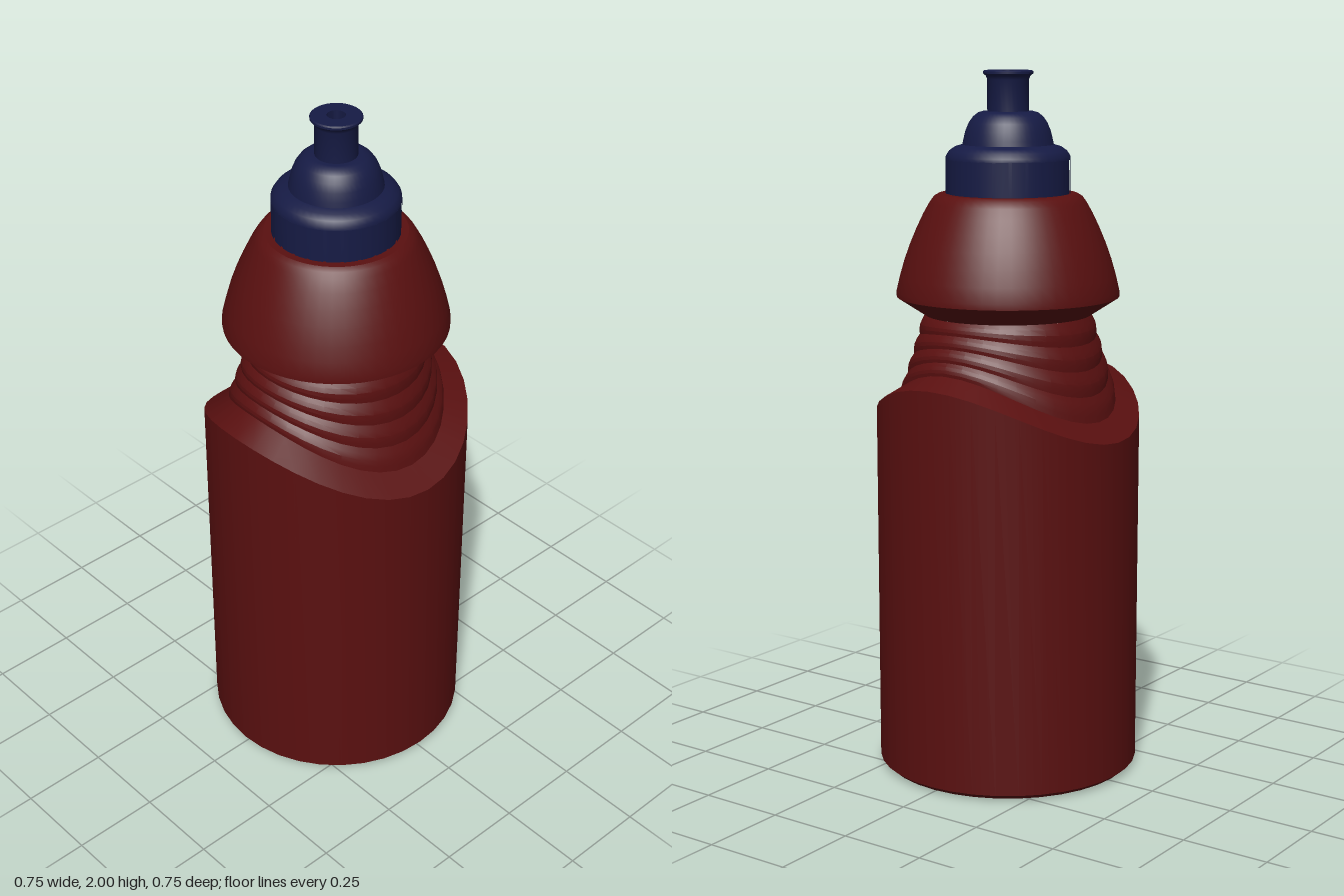
import * as THREE from 'three';
import { toCreasedNormals } from 'three/addons/utils/BufferGeometryUtils.js';

const RED = new THREE.MeshStandardMaterial({ color: 0x5a1010 });
const NAVY = new THREE.MeshStandardMaterial({ color: 0x161b45 });

// Turned part. Rows run bottom to top: [radius, y] for a plain ring, or
// [radius at sides, y at sides, radius at front/back, y at front/back] for a wavy ring.
function turned(name, rows, sides, material, crease = 0.4) {
  const geometry = new THREE.LatheGeometry(rows.map(([r, y]) => new THREE.Vector2(r, y)), sides);
  const pos = geometry.attributes.position;
  for (let i = 0; i <= sides; i++) {
    const a = (i / sides) * Math.PI * 2;
    const side = Math.sin(a) ** 2;
    rows.forEach(([rx, yx, rz = rx, yz = yx], j) => {
      const r = THREE.MathUtils.lerp(rz, rx, side);
      pos.setXYZ(i * rows.length + j, r * Math.sin(a), THREE.MathUtils.lerp(yz, yx, side), r * Math.cos(a));
    });
  }
  const mesh = new THREE.Mesh(toCreasedNormals(geometry, crease), material);
  mesh.name = name;
  return mesh;
}

// Wavy grip rings: the wave flattens towards the top, each band bulges slightly
function gripRows() {
  const rows = [];
  const bands = 4;
  const steps = 4;
  for (let b = 0; b < bands; b++) {
    for (let s = 0; s <= steps; s++) {
      if (b > 0 && s === 0) continue;
      const t = (b + s / steps) / bands;
      const bulge = 0.007 * Math.sin((s / steps) * Math.PI);
      rows.push([
        0.31 - 0.075 * t ** 0.8 + bulge, 1.04 + 0.28 * t,
        0.3 - 0.065 * t + bulge, 1.18 + 0.14 * t,
      ]);
    }
  }
  return rows;
}

export function createModel() {
  const group = new THREE.Group();
  group.name = 'sportsBottle';

  // Main container with its wavy, bevelled shoulder
  group.add(turned('body', [
    [0, 0.005], [0.335, 0.005], [0.345, 0], [0.36, 0.005], [0.375, 0.018],
    [0.375, 0.99, 0.375, 1.15],
    [0.31, 1.04, 0.3, 1.18],
  ], 36, RED));

  group.add(turned('grip', gripRows(), 36, RED, 0.25));

  // Bell-shaped upper part with an undercut rim
  group.add(turned('bell', [
    [0.235, 1.32], [0.315, 1.372], [0.315, 1.388], [0.305, 1.43], [0.292, 1.475], [0.276, 1.52],
    [0.257, 1.565], [0.238, 1.605], [0.221, 1.635], [0.209, 1.652], [0.195, 1.66], [0.16, 1.66],
  ], 48, RED, 0.5));

  // Screw cap and its domed top
  group.add(turned('cap', [
    [0.171, 1.655], [0.171, 1.755], [0.175, 1.755], [0.174, 1.765], [0.165, 1.779],
    [0.149, 1.79], [0.128, 1.796],
    [0.125, 1.81], [0.119, 1.834], [0.11, 1.856], [0.098, 1.873], [0.084, 1.884], [0.07, 1.888],
    [0.05, 1.888],
  ], 48, NAVY, 0.5));

  // Grip ribs around the cap
  const ribs = new THREE.Group();
  ribs.name = 'capRibs';
  const ribGeometry = new THREE.CylinderGeometry(0.175, 0.175, 0.095, 2, 1, false, -0.105, 0.21);
  const count = 24;
  for (let i = 0; i < count; i++) {
    const rib = new THREE.Mesh(ribGeometry, NAVY);
    rib.name = 'capRib';
    rib.position.y = 1.7085;
    rib.rotation.y = (i / count) * Math.PI * 2;
    ribs.add(rib);
  }
  group.add(ribs);

  // Pull-up spout with flared lip and drinking hole
  group.add(turned('spout', [
    [0.058, 1.88], [0.058, 1.975], [0.062, 1.985], [0.07, 1.991], [0.07, 1.997], [0.066, 2],
    [0.025, 2], [0.025, 1.93], [0, 1.93],
  ], 32, NAVY, 0.6));

  return group;
}
